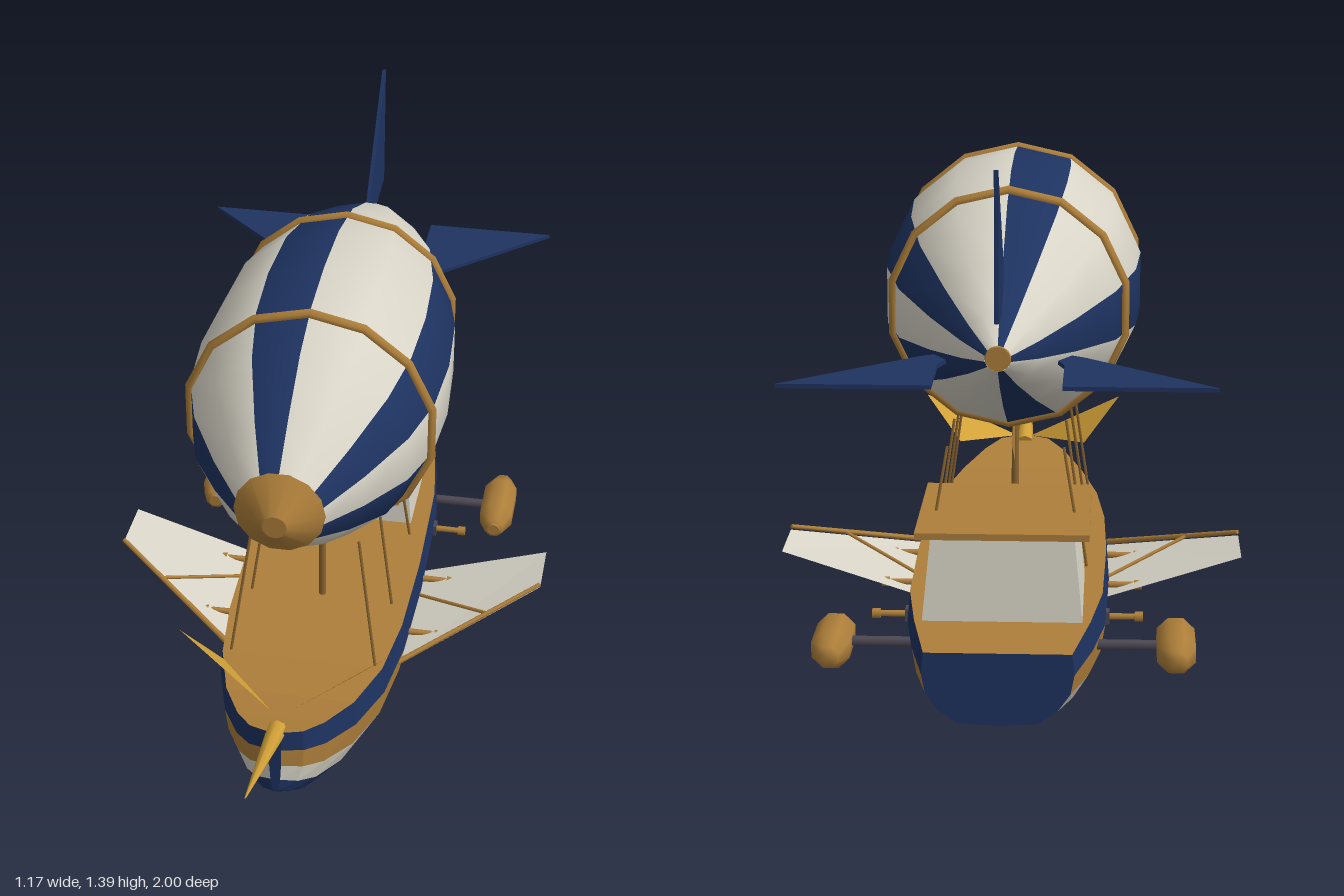
import * as THREE from 'three';

// Two-sided because sails, wings and shells are open surfaces
const mat = (name, color) =>
  Object.assign(new THREE.MeshStandardMaterial({ color, side: THREE.DoubleSide }), { name });

export function createModel() {
  const root = new THREE.Group();
  root.name = 'airship';
  const navy = mat('navy', 0x1e3361), cream = mat('cream', 0xd8d4c7), wood = mat('golden wood', 0xae7f3a);
  const rope = mat('dark rope', 0x8c6630), brass = mat('bright brass', 0xd3a238), steel = mat('steel', 0x4d4853);
  const V = (x, y, z) => new THREE.Vector3(x, y, z);

  const add = (name, geo, material, parent = root) => {
    const m = new THREE.Mesh(geo, material);
    m.name = name;
    parent.add(m);
    return m;
  };
  // Flat-shaded geometry from a list of corner triples
  const facets = (pts) => {
    const g = new THREE.BufferGeometry().setFromPoints(pts);
    g.computeVertexNormals();
    return g;
  };
  const quad = (a, b, c, d) => [a, b, c, a, c, d];
  // Tapered rod from a to b
  const rod = (name, a, b, ra, rb, material, sides = 6) => {
    const m = add(name, new THREE.CylinderGeometry(rb, ra, a.distanceTo(b), sides), material);
    m.position.copy(a).add(b).multiplyScalar(0.5);
    m.quaternion.setFromUnitVectors(V(0, 1, 0), b.clone().sub(a).normalize());
  };

  // ---- Envelope: striped gores around the z axis
  const gores = 14, step = (Math.PI * 2) / gores;
  const profile = [[0.03, -0.94], [0.09, -0.85], [0.175, -0.69], [0.268, -0.477], [0.318, -0.26], [0.331, -0.05],
    [0.319, 0.13], [0.275, 0.28], [0.19, 0.434], [0.108, 0.555]].map(([r, z]) => new THREE.Vector2(r, z));
  const envelope = new THREE.Group();
  envelope.name = 'envelope';
  envelope.position.y = 0.958;
  root.add(envelope);
  for (let i = 0; i < gores; i++) {
    const g = new THREE.LatheGeometry(profile, 1, step * (i + 0.5) + Math.PI / 2, step).rotateX(Math.PI / 2);
    add(i % 3 ? 'creamGore' : 'navyGore', g, i % 3 ? cream : navy, envelope);
  }
  const nose = new THREE.CylinderGeometry(0.03, 0.112, 0.065, gores).rotateX(Math.PI / 2).rotateZ(step / 2);
  add('noseCap', nose, wood, envelope).position.z = 0.588;
  const tail = new THREE.CylinderGeometry(0.031, 0.028, 0.016, gores).rotateX(Math.PI / 2).rotateZ(step / 2);
  add('tailCap', tail, wood, envelope).position.z = -0.936;
  for (const [r, z] of [[0.313, 0.155], [0.287, -0.4]]) {
    const hoop = add('envelopeHoop', new THREE.TorusGeometry(r, 0.014, 6, gores), wood, envelope);
    hoop.position.z = z;
    hoop.rotation.z = step / 2;
  }

  // ---- Tail fins: shape x runs toward the stern, shape y runs upward
  const fin = (pts) => new THREE.ExtrudeGeometry(new THREE.Shape(pts.map((p) => new THREE.Vector2(...p))),
    { depth: 0.01, bevelEnabled: false }).translate(0, 0, -0.005);
  add('topFin', fin([[0.73, 1.1], [0.82, 1.03], [1, 1.05], [1, 1.39]]).rotateY(Math.PI / 2), navy);
  for (const s of [1, -1]) {
    const f = fin([[s * 0.1, 0.66], [s * 0.19, 0.72], [s * 0.49, 1], [s * 0.145, 1], [s * 0.145, 0.8]]);
    add('sideFin', f.rotateX(-Math.PI / 2), navy).position.y = 0.906;
  }

  // ---- Hull: stations [z, half width, keel y, sheer y] from bow to stern
  const stations = [[0.65, 0.016, 0.155, 0.352], [0.63, 0.07, 0.138, 0.348], [0.57, 0.115, 0.1, 0.333],
    [0.45, 0.172, 0.055, 0.308], [0.28, 0.22, 0.017, 0.289], [0.08, 0.243, 0.004, 0.281], [-0.2, 0.25, 0, 0.28],
    [-0.55, 0.243, 0.005, 0.28], [-0.76, 0.215, 0.04, 0.28], [-0.98, 0.175, 0.105, 0.28]];
  // Cross-section [width, height] fractions from keel to sheer
  const section = [[0, 0], [0.53, 0.035], [0.78, 0.21], [0.95, 0.45], [1, 0.71], [0.97, 1]];
  const P = (i, j, s) => {
    const [z, w, k, t] = stations[i];
    return V(s * w * section[j][0], k + (t - k) * section[j][1], z);
  };
  const last = stations.length - 1, top = section.length - 1;
  const strake = (j0, j1) => {
    const t = [];
    for (let i = 0; i < last; i++) for (let j = j0; j < j1; j++) {
      t.push(...quad(P(i, j, 1), P(i + 1, j, 1), P(i + 1, j + 1, 1), P(i, j + 1, 1)));
      t.push(...quad(P(i, j, -1), P(i, j + 1, -1), P(i + 1, j + 1, -1), P(i + 1, j, -1)));
    }
    return facets(t);
  };
  add('hullBottom', strake(0, 2), navy);
  add('hullLowerStripe', strake(2, 3), cream);
  add('hullMiddleStripe', strake(3, 4), wood);
  add('hullTopStripe', strake(4, 5), navy);
  const deck = [], stem = [], transom = [];
  for (let i = 0; i < last; i++) deck.push(...quad(P(i, top, 1), P(i + 1, top, 1), P(i + 1, top, -1), P(i, top, -1)));
  for (let j = 0; j < top; j++) {
    stem.push(...quad(P(0, j, 1), P(0, j + 1, 1), P(0, j + 1, -1), P(0, j, -1)));
    transom.push(...quad(P(last, j, -1), P(last, j + 1, -1), P(last, j + 1, 1), P(last, j, 1)));
  }
  add('deck', facets(deck), wood);
  add('stem', facets(stem), navy);
  add('transom', facets(transom), navy);

  // ---- Cabin: box narrowed toward the roof
  const cabin = new THREE.BoxGeometry(0.38, 0.21, 0.376);
  const cp = cabin.attributes.position;
  for (let i = 0; i < cp.count; i++) if (cp.getY(i) > 0) cp.setXYZ(i, cp.getX(i) * 0.89, cp.getY(i), cp.getZ(i) * 0.89);
  cabin.computeVertexNormals();
  add('cabin', cabin, cream).position.set(0, 0.38, -0.578);
  add('cabinRoof', new THREE.BoxGeometry(0.41, 0.016, 0.42), wood).position.set(0, 0.492, -0.57);
  for (const x of [-0.12, 0, 0.12])
    add('cabinWindow', new THREE.BoxGeometry(0.076, 0.072, 0.009), brass).position.set(x, 0.391, -0.37);

  // ---- Mast and pennant
  rod('mast', V(0, 0.27, -0.025), V(0, 0.66, -0.025), 0.01, 0.009, rope, 8);
  add('pennant', facets([V(0, 0.62, -0.035), V(0, 0.465, -0.035), V(0, 0.575, -0.255)]), wood);

  // ---- Bowsprit
  rod('bowsprit', V(0, 0.335, 0.62), V(0, 0.447, 1), 0.026, 0.002, brass, 8);

  for (const s of [1, -1]) {
    // Bow feathers
    add('bowFeather', facets([V(s * 0.02, 0.368, 0.59), V(s * 0.273, 0.513, 0.49), V(s * 0.175, 0.39, 0.435)]), brass);

    // Rigging to the envelope; the aftmost pair stands on the cabin roof
    for (const [x, y, z0, z1] of [[0.195, 0.27, 0.27, 0.23], [0.195, 0.27, -0.01, -0.04],
      [0.195, 0.27, -0.34, -0.32], [0.168, 0.49, -0.596, -0.575]])
      rod('riggingLine', V(s * x, y, z0), V(s * 0.14, 0.655, z1), 0.004, 0.004, rope);

    // Side wing with spar and rib lying on its upper face
    const spar = [V(s * 0.235, 0.185, 0.13), V(s * 0.585, 0.3, -0.13)];
    const wing = quad(spar[0], spar[1], V(s * 0.585, 0.295, -0.3), V(s * 0.235, 0.182, -0.3));
    add('wing', facets(wing), cream);
    const lift = V(s * -0.002, 0.009, 0);
    rod('wingSpar', spar[0].add(lift), spar[1].add(lift), 0.008, 0.006, wood);
    rod('wingRib', V(s * 0.235, 0.193, -0.18), V(s * 0.45, 0.265, -0.035), 0.005, 0.005, wood);

    // Engine pod on its strut
    rod('engineStrut', V(s * 0.2, 0.187, -0.655), V(s * 0.38, 0.187, -0.655), 0.013, 0.013, steel, 8);
    const podProfile = [[0, -0.12], [0.028, -0.12], [0.05, -0.065], [0.05, 0.065], [0.028, 0.12], [0, 0.12]];
    const pod = new THREE.LatheGeometry(podProfile.map((p) => new THREE.Vector2(...p)), 8, Math.PI / 8).rotateX(Math.PI / 2);
    add('enginePod', pod, wood).position.set(s * 0.413, 0.187, -0.655);
    rod('engineHub', V(s * 0.413, 0.187, -0.54), V(s * 0.413, 0.187, -0.528), 0.02, 0.018, wood, 8);

    // Side guns
    for (const z of [0, -0.245, -0.49]) {
      rod('gunBarrel', V(s * 0.22, 0.2, z), V(s * 0.315, 0.2, z), 0.009, 0.008, wood, 8);
      rod('gunMuzzle', V(s * 0.315, 0.2, z), V(s * 0.335, 0.2, z), 0.013, 0.013, wood, 8);
    }
    add('gunPort', new THREE.BoxGeometry(0.009, 0.032, 0.032), steel).position.set(s * 0.248, 0.2, -0.49);
  }
  return root;
}
